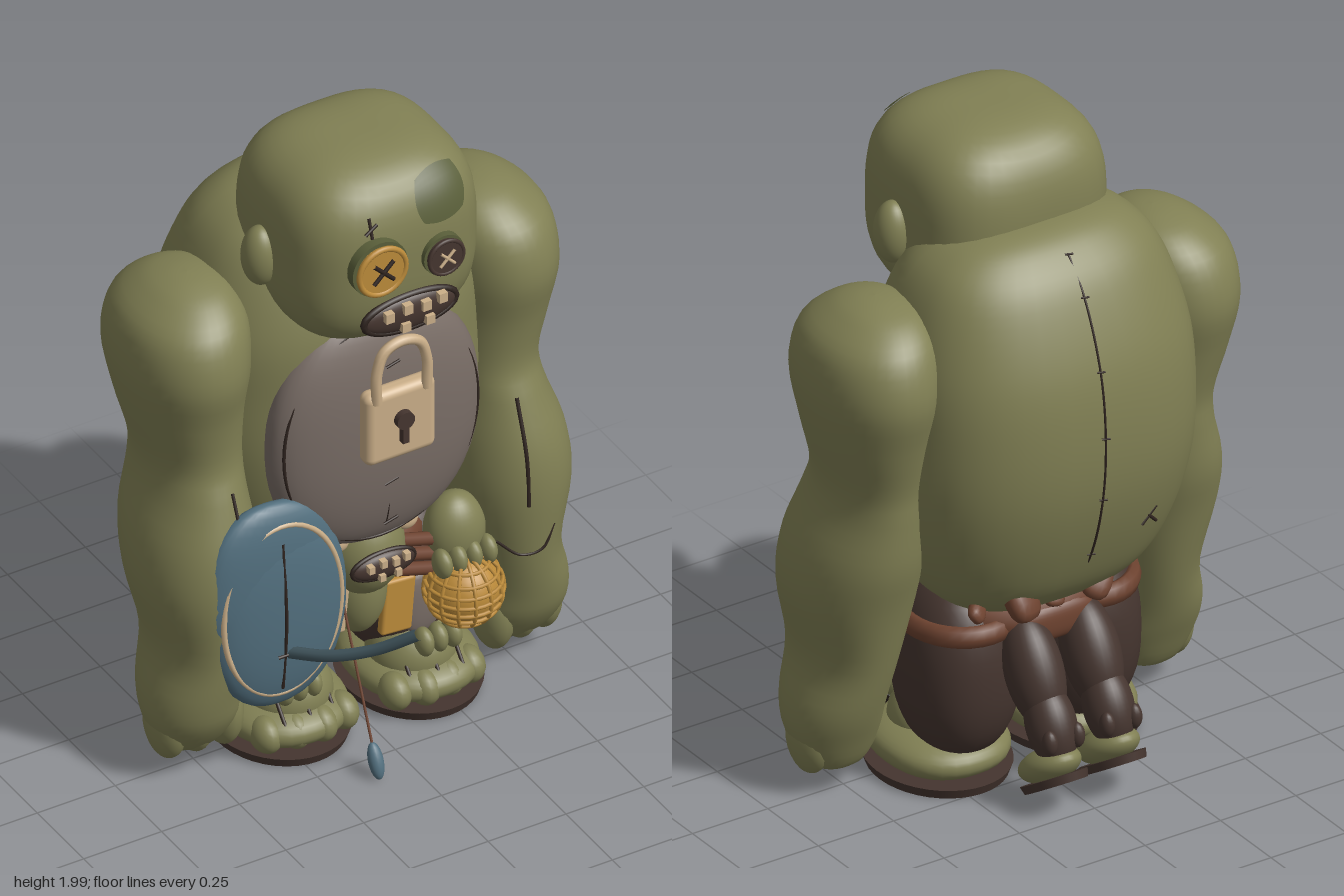
import * as THREE from 'three';
import { mergeVertices } from 'three/addons/utils/BufferGeometryUtils.js';
import { RoundedBoxGeometry } from 'three/addons/geometries/RoundedBoxGeometry.js';

const paint = (name, color) => Object.assign(new THREE.MeshStandardMaterial({ color }), { name });
const V = (x, y, z) => new THREE.Vector3(x, y, z);

// Rounded block: a sphere pushed out towards a box as n grows
function blob(rx, ry, rz, n = 2, seg = 32) {
  const g = new THREE.SphereGeometry(1, seg, Math.round(seg * 0.7));
  const p = g.attributes.position;
  for (let i = 0; i < p.count; i++) {
    const a = [p.getX(i), p.getY(i), p.getZ(i)];
    const k = a.reduce((s, c) => s + Math.abs(c) ** n, 0) ** (-1 / n);
    p.setXYZ(i, a[0] * k * rx, a[1] * k * ry, a[2] * k * rz);
  }
  g.deleteAttribute('uv');
  g.deleteAttribute('normal');
  const m = mergeVertices(g);
  m.computeVertexNormals();
  return m;
}

// Loft through rows of [y, centre x, half width, front z, back z]
function loft(rows, side, n, steps = 56, seg = 40) {
  const cols = rows[0].map((_, j) => new THREE.SplineCurve(rows.map(r => new THREE.Vector2(r[j], 0))));
  const pos = [], idx = [];
  const pw = c => Math.sign(c) * Math.abs(c) ** (2 / n);
  for (let i = 0; i <= steps; i++) {
    const [y, cx, w, zf, zb] = cols.map(c => c.getPoint(i / steps).x);
    for (let j = 0; j < seg; j++) {
      const t = j / seg * Math.PI * 2;
      pos.push(cx * side + w * pw(Math.cos(t)), y, (zf + zb) / 2 + (zf - zb) / 2 * pw(Math.sin(t)));
      if (i < steps) {
        const a = i * seg + j, b = i * seg + (j + 1) % seg;
        idx.push(a, a + seg, b, b, a + seg, b + seg);
      }
    }
  }
  const g = new THREE.BufferGeometry();
  g.setAttribute('position', new THREE.Float32BufferAttribute(pos, 3));
  g.setIndex(idx);
  g.computeVertexNormals();
  return g;
}

const tube = (pts, r, closed = false, seg = 40) =>
  new THREE.TubeGeometry(new THREE.CatmullRomCurve3(pts, closed), seg, r, 8, closed);
const oval = (rx, ry, z = 0, n = 24) => Array.from({ length: n }, (_, i) =>
  V(rx * Math.cos(i / n * Math.PI * 2), ry * Math.sin(i / n * Math.PI * 2), z));

export function createModel() {
  const root = new THREE.Group();
  const green = paint('olive skin', 0x818054), patchGreen = paint('patch green', 0x5a5f3a);
  const grey = paint('belly grey', 0x796d66), dark = paint('dark cloth', 0x45352f);
  const brown = paint('leather', 0x6e4330), black = paint('thread', 0x2e231e);
  const blue = paint('shield blue', 0x526f7e), slate = paint('staff slate', 0x455a62);
  const beige = paint('bone', 0xcbaf89), gold = paint('gold', 0xbc8b3a);

  const add = (name, geo, mat, pos = [0, 0, 0], rot = [0, 0, 0], parent = root) => {
    const m = new THREE.Mesh(geo, mat);
    m.name = name;
    m.position.set(...pos);
    m.rotation.set(...rot);
    parent.add(m);
    return m;
  };
  const bar = (name, a, b, r, mat) => add(name, tube([V(...a), V(...b)], r, false, 2), mat);
  const cross = (name, x, y, z, s, mat) => [-1, 1].forEach(k =>
    bar(name, [x - s, y - s * k, z], [x + s, y + s * k, z], s * 0.2, mat));

  // Torso
  add('torso', loft([
    [0.53, 0, 0, -0.105, -0.105], [0.56, 0, 0.2, 0.04, -0.27], [0.65, 0, 0.33, 0.1, -0.4],
    [0.8, 0, 0.41, 0.15, -0.48], [1, 0, 0.45, 0.18, -0.54], [1.2, 0, 0.455, 0.18, -0.555],
    [1.4, 0, 0.44, 0.17, -0.53], [1.6, 0, 0.38, 0.1, -0.45], [1.7, 0, 0.3, 0.02, -0.37],
    [1.745, 0, 0.18, -0.08, -0.29], [1.755, 0, 0, -0.185, -0.185]], 1, 2.5), green);
  add('bellyPlate', blob(0.335, 0.395, 0.115, 2.25, 40), grey, [0, 1.06, 0.122]);
  add('bellyRim', tube(oval(0.311, 0.367), 0.005, true, 64), black, [0, 1.06, 0.172]);
  for (let i = 0; i < 5; i++)
    bar('bellyStitch', [-0.022, 0.77 + i * 0.135, 0.226 + i * 0.003], [0.022, 0.782 + i * 0.135, 0.226 + i * 0.003], 0.004, black);
  add('bellySeam', tube([V(0, 0.69, 0.16), V(0, 0.76, 0.203), V(0, 0.9, 0.226), V(0, 1.03, 0.236)], 0.002), black);

  // Back seam with small stitches
  const seam = [[0.62, -0.36], [0.8, -0.48], [1, -0.54], [1.2, -0.555], [1.4, -0.53], [1.6, -0.45], [1.7, -0.37]];
  add('backSeam', tube(seam.map(([y, z]) => V(0, y, z)), 0.0035), black);
  seam.slice(1).forEach(([y, z]) => bar('backStitch', [-0.014, y, z - 0.001], [0.014, y + 0.006, z - 0.001], 0.003, black));
  cross('backCross', -0.19, 0.87, -0.485, 0.024, black);

  // Head and ears
  const hc = [0, 1.705, 0.04], hr = [0.302, 0.295, 0.29], hn = 3.1;
  add('head', blob(...hr, hn, 48), green, hc);
  for (const s of [-1, 1]) add('ear', blob(0.055, 0.095, 0.057), green, [s * 0.308, 1.68, 0.04]);
  // Sewn patch wrapped on the forehead
  const patch = new THREE.PlaneGeometry(0.17, 0.14, 10, 10), pp = patch.attributes.position;
  for (let i = 0; i < pp.count; i++) {
    const u = pp.getX(i) / 0.085, v = pp.getY(i) / 0.07;
    const x = 0.115 + 0.085 * u * (1 - 0.2 * v * v), y = 1.89 + 0.07 * v * (1 - 0.2 * u * u);
    const k = 1 - (x / hr[0]) ** hn - ((y - hc[1]) / hr[1]) ** hn;
    pp.setXYZ(i, x, y, hc[2] + hr[2] * Math.max(k, 0) ** (1 / hn) + 0.007);
  }
  patch.computeVertexNormals();
  add('headPatch', patch, patchGreen);

  // Button eyes
  for (const [x, y, r, mat, thread] of [[-0.105, 1.745, 0.088, gold, black], [0.1, 1.718, 0.064, dark, beige]]) {
    add('eyeBacking', new THREE.CylinderGeometry(r, r, 0.03, 32), patchGreen, [x, y, 0.33], [Math.PI / 2, 0, 0]);
    add('eyeButton', new THREE.CylinderGeometry(r * 0.85, r * 0.85, 0.02, 32), mat, [x, y, 0.352], [Math.PI / 2, 0, 0]);
    add('eyeRim', new THREE.TorusGeometry(r * 0.84, r * 0.1, 10, 32), mat, [x, y, 0.358]);
    cross('eyeThread', x, y, 0.365, r * 0.36, thread);
  }
  bar('browStitch', [-0.115, 1.835, 0.32], [-0.115, 1.895, 0.3], 0.005, black);
  bar('browStitch', [-0.135, 1.85, 0.316], [-0.095, 1.872, 0.31], 0.005, black);

  // Mouths: large one on the head, small one on the hanging face
  const mouth = (y, z, rx, ry) => {
    add('mouth', blob(rx, ry, 0.025), dark, [0, y, z]);
    add('lips', tube(oval(rx, ry), 0.07 * rx, true), black, [0, y, z]);
    [-0.55, -0.15, 0.25, 0.6].forEach((u, i) => {
      const v = i % 2 ? 0.55 : 0.4;
      add('upperTooth', new THREE.BoxGeometry(rx * 0.18, ry * 0.55, 0.02), beige, [u * rx, y + ry * v, z + 0.025]);
      if (i % 3) add('lowerTooth', new THREE.BoxGeometry(rx * 0.18, ry * 0.5, 0.02), beige, [u * 1.3 * rx, y - ry * 0.5, z + 0.025]);
    });
  };
  mouth(1.555, 0.328, 0.148, 0.056);
  add('smallFace', blob(0.12, 0.15, 0.12), green, [0, 0.6, 0.07]);
  add('smallBody', blob(0.085, 0.16, 0.09), green, [0, 0.45, 0.04]);
  mouth(0.6, 0.185, 0.1, 0.042);
  for (const s of [-1, 1]) add('smallEye', blob(0.035, 0.03, 0.02), beige, [s * 0.11, 0.675, 0.125]);

  // Padlock on the chest
  add('lockBody', new RoundedBoxGeometry(0.225, 0.24, 0.06, 4, 0.025), beige, [0, 1.145, 0.26]);
  add('lockShackle', tube([V(-0.08, 1.24, 0), V(-0.08, 1.34, 0), V(-0.055, 1.405, 0), V(0, 1.425, 0),
    V(0.055, 1.405, 0), V(0.08, 1.34, 0), V(0.08, 1.24, 0)], 0.016), beige, [0, 0, 0.285]);
  add('keyhole', new THREE.CylinderGeometry(0.028, 0.028, 0.02, 24), dark, [0, 1.165, 0.3], [Math.PI / 2, 0, 0]);
  add('keySlot', new THREE.BoxGeometry(0.02, 0.07, 0.02), dark, [0, 1.125, 0.3]);

  const arm = [
    [0.075, 0.52, 0, 0, 0], [0.1, 0.52, 0.085, 0.075, -0.06], [0.2, 0.525, 0.132, 0.15, -0.11],
    [0.3, 0.525, 0.137, 0.18, -0.15], [0.45, 0.5, 0.132, 0.2, -0.19], [0.65, 0.5, 0.172, 0.215, -0.24],
    [0.8, 0.495, 0.168, 0.2, -0.28], [0.95, 0.48, 0.137, 0.15, -0.29], [1.05, 0.475, 0.138, 0.115, -0.295],
    [1.2, 0.49, 0.16, 0.13, -0.33], [1.35, 0.495, 0.18, 0.16, -0.365], [1.48, 0.485, 0.17, 0.13, -0.335],
    [1.555, 0.465, 0.115, 0.05, -0.26], [1.585, 0.46, 0.055, -0.03, -0.17], [1.592, 0.46, 0, -0.1, -0.1]];
  for (const s of [-1, 1]) {
    // Arms with mitten fists
    add('arm', loft(arm, s, 2.1), green);
    [0.435, 0.52, 0.6].forEach((x, i) =>
      add('knuckle', blob(0.056, 0.12, 0.085, 2, 20), green, [s * x, 0.19, 0.04 - i * 0.01]));

    // Legs in dark trousers with bare feet
    add('trouserLeg', blob(0.165, 0.28, 0.19, 2.3), dark, [s * 0.2, 0.36, -0.11]);
    add('ankle', blob(0.13, 0.12, 0.13), green, [s * 0.2, 0.14, 0]);
    add('foot', blob(0.185, 0.07, 0.215, 2.3), green, [s * 0.21, 0.088, -0.035]);
    add('sole', new THREE.CylinderGeometry(0.2, 0.19, 0.03, 40).scale(1, 1, 1.18), dark, [s * 0.212, 0.022, -0.035]);
    for (let i = 0; i < 4; i++) {
      const x = s * (0.085 + i * 0.08), z = 0.13 - 0.02 * Math.abs(i - 1.3);
      add('toe', blob(0.045, 0.055, 0.06, 2, 18), green, [x, 0.085, z]);
      if (i < 3) bar('toeStitch', [x + 0.04 * s, 0.11, z + 0.03], [x + 0.04 * s, 0.18, z - 0.03], 0.006, black);
    }
    for (let i = 0; i < 3; i++)
      add('ankleKnuckle', blob(0.027, 0.045, 0.04, 2, 16), green, [s * (0.18 + i * 0.045), 0.215, 0.1]);
    add('thighWrap', new THREE.TorusGeometry(0.15, 0.022, 8, 32).scale(1, 1.15, 1.6), brown,
      [s * 0.2, 0.52, -0.11], [Math.PI / 2, 0, 0]);

    // Small dangling legs behind
    add('smallThigh', blob(0.082, 0.17, 0.09), dark, [s * 0.095, 0.4, -0.34], [0.45, 0, 0]);
    add('smallShin', blob(0.072, 0.12, 0.075), dark, [s * 0.095, 0.27, -0.425], [0.4, 0, 0]);
    for (const k of [-1, 1]) add('kneeKnob', blob(0.022, 0.038, 0.025, 2, 16), dark, [s * 0.095 + k * 0.045, 0.25, -0.487]);
    const foot = new THREE.Group();
    foot.name = 'smallFoot';
    foot.position.set(s * 0.097, 0.12, -0.435);
    foot.rotation.x = 0.57;
    root.add(foot);
    add('smallFootTop', blob(0.08, 0.05, 0.12), green, [0, 0.025, 0], [0, 0, 0], foot);
    add('smallSole', new THREE.CylinderGeometry(0.086, 0.08, 0.024, 28).scale(1, 1, 1.5), dark, [0, -0.025, 0], [0, 0, 0], foot);
  }

  // Belt and leather scraps
  add('belt', new THREE.TorusGeometry(0.24, 0.035, 10, 48).scale(1.05, 0.82, 1.5), brown, [0, 0.535, -0.11], [Math.PI / 2, 0, 0]);
  add('beltFlap', blob(0.13, 0.06, 0.04, 2.5), brown, [0, 0.52, -0.3]);
  for (const [x, y, z, r] of [[0.16, 0.66, -0.375, 0.065], [0.27, 0.63, -0.32, 0.035], [-0.1, 0.63, -0.365, 0.05], [0.02, 0.6, -0.33, 0.03]])
    add('leatherScrap', blob(r, r * 0.8, r * 0.55, 2.8, 14), brown, [x, y, z], [0.6, x * 2, x * 9]);
  add('legPatchGold', new RoundedBoxGeometry(0.1, 0.18, 0.03, 2, 0.01), gold, [0.105, 0.36, 0.08], [0, 0, -0.08]);
  add('legPatchGrey', blob(0.06, 0.1, 0.02, 2.6, 20), grey, [0.19, 0.33, 0.07]);
  add('clothStrip', new RoundedBoxGeometry(0.05, 0.2, 0.02, 2, 0.008), beige, [-0.09, 0.45, 0.1], [0, 0, -0.1]);
  for (let i = 0; i < 3; i++)
    bar('leatherStrap', [0.06, 0.51 + i * 0.05, 0.11], [0.21, 0.45 + i * 0.05, 0.09], 0.02, brown);

  // Wire-wrapped ball and the hand holding it
  const ball = new THREE.Group();
  ball.name = 'wireBall';
  ball.position.set(0.285, 0.39, 0.14);
  root.add(ball);
  add('ballCore', blob(0.105, 0.105, 0.105), gold, [0, 0, 0], [0, 0, 0], ball);
  for (let i = 0; i < 7; i++) {
    const h = (i - 3) * 0.029;
    add('ballHoop', new THREE.TorusGeometry(Math.sqrt(0.112 ** 2 - h * h), 0.006, 6, 32), gold, [0, h, 0], [Math.PI / 2, 0, 0], ball);
    add('ballRib', new THREE.TorusGeometry(0.112, 0.006, 6, 32), gold, [0, 0, 0], [0, i * Math.PI / 7, 0], ball);
  }
  for (let i = 0; i < 4; i++)
    add('smallFinger', blob(0.026, 0.045, 0.04, 2, 16), green, [0.21 + i * 0.048, 0.5, 0.15]);
  add('smallForearm', blob(0.09, 0.12, 0.08), green, [0.29, 0.55, 0.08]);

  // Shield pair with rim and seam
  add('shieldBack', blob(0.205, 0.25, 0.06, 2.4), blue, [-0.365, 0.68, 0.172], [0, 0, -0.12]);
  add('shieldFront', blob(0.215, 0.32, 0.068, 2.2), blue, [-0.333, 0.57, 0.175]);
  add('shieldRim', tube(oval(0.188, 0.283), 0.009, true, 64), beige, [-0.338, 0.588, 0.21], [0, 0, 0.03]);
  add('shieldSeam', tube([V(-0.345, 0.33, 0.224), V(-0.345, 0.57, 0.244), V(-0.345, 0.82, 0.222)], 0.005), black);
  bar('shieldStitch', [-0.37, 0.45, 0.24], [-0.32, 0.45, 0.24], 0.005, black);

  // Curved staff, string and weight
  add('staff', tube([V(-0.33, 0.445, 0.22), V(-0.27, 0.49, 0.35), V(-0.19, 0.55, 0.46), V(-0.11, 0.635, 0.56)], 0.018), slate);
  bar('string', [-0.11, 0.62, 0.1], [-0.11, 0.08, 0.32], 0.004, brown);
  add('stringWeight', blob(0.022, 0.055, 0.022, 2, 18), blue, [-0.11, 0.06, 0.33], [-0.4, 0, 0]);

  // Arm stitching
  add('armSeam', tube([V(0.455, 0.64, 0.207), V(0.455, 0.8, 0.194), V(0.455, 0.97, 0.14)], 0.006), black);
  bar('armSeam', [-0.455, 0.9, 0.17], [-0.455, 0.98, 0.136], 0.005, black);
  add('wristThread', tube([V(0.37, 0.53, 0.17), V(0.44, 0.47, 0.19), V(0.5, 0.48, 0.205), V(0.54, 0.55, 0.2)], 0.004), black);
  return root;
}
